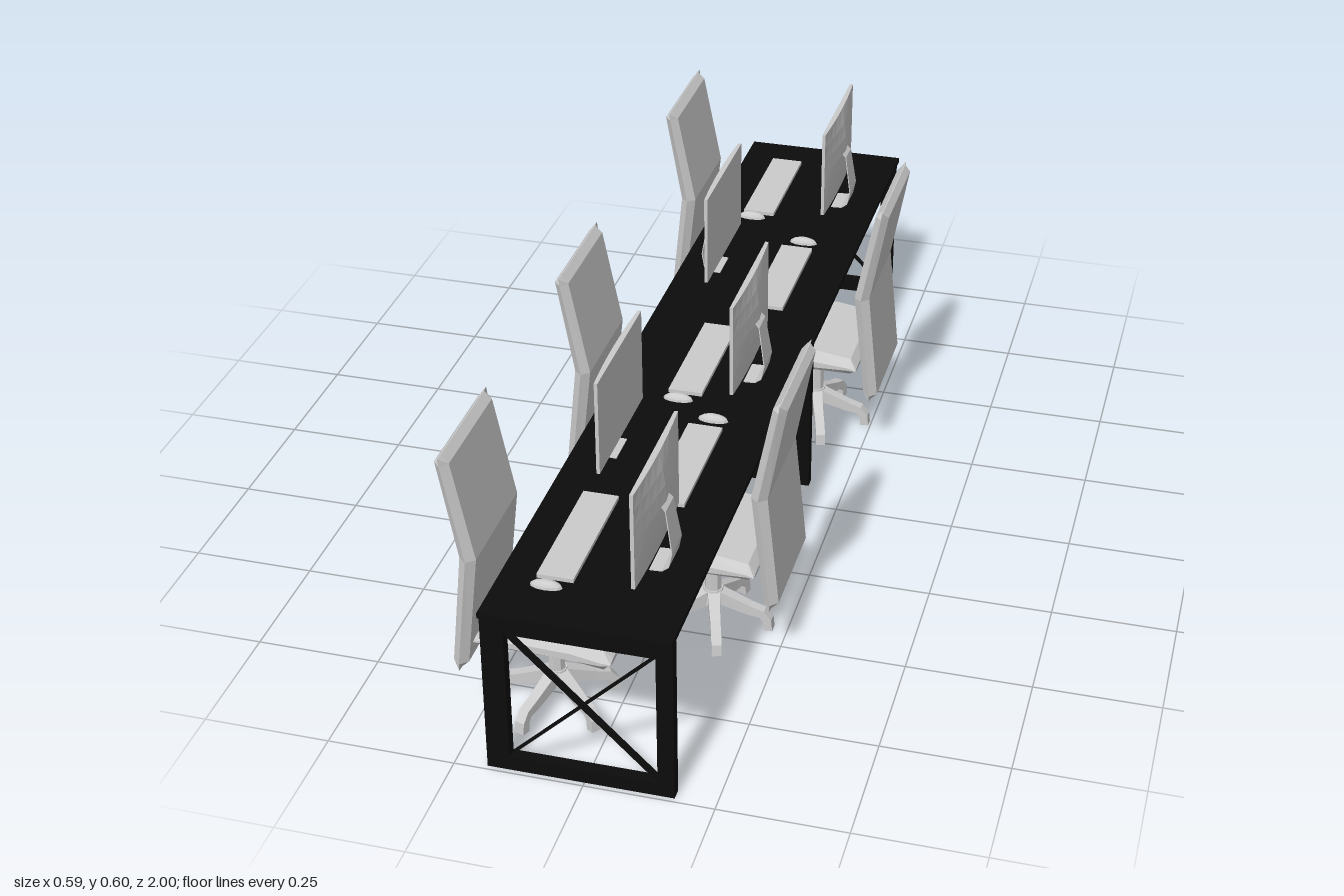
import * as THREE from 'three';

const grey = new THREE.MeshStandardMaterial({ color: 0xcccccc, flatShading: true, side: THREE.DoubleSide });
const black = new THREE.MeshStandardMaterial({ color: 0x0c0c0c, flatShading: true, side: THREE.DoubleSide });

function add(parent, name, geometry, material, x = 0, y = 0, z = 0) {
  const mesh = new THREE.Mesh(geometry, material);
  mesh.name = name;
  mesh.position.set(x, y, z);
  parent.add(mesh);
  return mesh;
}

// Closed solid through equal-sized rings of [x, y, z] points, always wound outwards
function loft(rings) {
  const n = rings[0].length, pts = rings.flat(), tris = [];
  for (let r = 0; r < rings.length - 1; r++) {
    for (let i = 0; i < n; i++) {
      const a = r * n + i, b = r * n + (i + 1) % n;
      tris.push([a, b, b + n], [a, b + n, a + n]);
    }
  }
  const last = (rings.length - 1) * n;
  for (let i = 1; i < n - 1; i++) tris.push([0, i + 1, i], [last, last + i, last + i + 1]);
  let volume = 0;
  const v = pts.map(p => new THREE.Vector3(...p));
  for (const [a, b, c] of tris) volume += v[a].dot(new THREE.Vector3().crossVectors(v[b], v[c]));
  if (volume < 0) tris.forEach(t => t.reverse());
  const g = new THREE.BufferGeometry();
  g.setAttribute('position', new THREE.Float32BufferAttribute(tris.flat().flatMap(i => pts[i]), 3));
  g.computeVertexNormals();
  return g;
}

// Bar with a rectangular section along x-y stations [x, y, halfThickness, halfWidth]
function bar(stations) {
  return loft(stations.map(([x, y, t, w], i) => {
    const p = stations[Math.max(i - 1, 0)], q = stations[Math.min(i + 1, stations.length - 1)];
    const len = Math.hypot(q[0] - p[0], q[1] - p[1]);
    const nx = -(q[1] - p[1]) / len * t, ny = (q[0] - p[0]) / len * t;
    return [[x + nx, y + ny, -w], [x + nx, y + ny, w], [x - nx, y - ny, w], [x - nx, y - ny, -w]];
  }));
}

// Bent backrest with chamfered rim
function backrestGeometry() {
  const w = 0.129, inset = 0.015;
  const ring = (x, y, t) => [
    [x - t, y, -w + inset], [x, y, -w], [x + t, y, -w + inset],
    [x + t, y, w - inset], [x, y, w], [x - t, y, w - inset]];
  return loft([
    ring(-0.146, 0.139, 0.001), ring(-0.146, 0.153, 0.015),
    ring(-0.121, 0.387, 0.016),
    ring(-0.159, 0.588, 0.014), ring(-0.161, 0.603, 0.001)]);
}

// Cushion: [x, top, bottom] profile, pinched to a rim at both sides
function seatGeometry() {
  const profile = [
    [-0.115, 0.215, 0.207], [-0.1, 0.232, 0.195], [-0.02, 0.243, 0.194],
    [0.072, 0.24, 0.192], [0.13, 0.228, 0.184], [0.149, 0.213, 0.203]];
  const section = (z, k) => {
    const side = (p, j) => [p[0], (p[1] + p[2]) / 2 + (p[j] - (p[1] + p[2]) / 2) * k, z];
    return [...profile.map(p => side(p, 1)), ...profile.slice().reverse().map(p => side(p, 2))];
  };
  return loft([section(-0.128, 0.15), section(-0.112, 1), section(0.112, 1), section(0.128, 0.15)]);
}

const backrest = backrestGeometry();
const seat = seatGeometry();
const stem = new THREE.CylinderGeometry(0.017, 0.017, 0.14, 8);
const hub = new THREE.CylinderGeometry(0.02, 0.024, 0.034, 10);
const baseLeg = bar([
  [0.01, 0.067, 0.015, 0.012], [0.075, 0.045, 0.011, 0.01],
  [0.102, 0.039, 0.009, 0.01], [0.113, 0.025, 0.009, 0.01], [0.115, 0.003, 0.009, 0.01]]);

function chair(x, z, turned) {
  const g = new THREE.Group();
  g.name = 'chair';
  add(g, 'backrest', backrest, grey);
  add(g, 'seat', seat, grey);
  add(g, 'stem', stem, grey, 0, 0.125);
  add(g, 'hub', hub, grey, 0, 0.066);
  for (let i = 0; i < 5; i++) {
    add(g, 'baseLeg', baseLeg, grey).rotation.y = Math.PI + i * Math.PI * 2 / 5;
  }
  g.position.set(x, 0, z);
  if (turned) g.rotation.y = Math.PI;
  return g;
}

// Flat screen whose rear swells towards the middle
const screen = new THREE.BoxGeometry(0.01, 0.199, 0.287, 1, 6, 8);
const sp = screen.attributes.position;
for (let i = 0; i < sp.count; i++) {
  if (sp.getX(i) < 0) continue;
  const v = sp.getY(i) / 0.0995, u = Math.abs(sp.getZ(i)) / 0.1435;
  sp.setX(i, 0.002 + 0.005 * (1 - u * u) + 0.013 * (1 - v * v) * (1 - u));
}
screen.computeVertexNormals();

// Thin folded sheet carrying the screen
const stand = bar([
  [0.016, 0.499, 0.001, 0.024], [0.025, 0.49, 0.001, 0.025], [0.038, 0.405, 0.001, 0.032],
  [0.032, 0.376, 0.001, 0.035], [0.02, 0.367, 0.001, 0.036], [-0.004, 0.366, 0.001, 0.036]]);

function monitor(x, z, turned) {
  const g = new THREE.Group();
  g.name = 'monitor';
  add(g, 'screen', screen, grey, 0, 0.4975);
  add(g, 'stand', stand, grey);
  g.position.set(x, 0, z);
  if (turned) g.rotation.y = Math.PI;
  return g;
}

// Leg frame outline with its opening
function frameGeometry() {
  const rect = (T, x0, x1, y0, y1) => {
    const s = new T();
    s.moveTo(x0, y0); s.lineTo(x1, y0); s.lineTo(x1, y1); s.lineTo(x0, y1); s.closePath();
    return s;
  };
  const shape = rect(THREE.Shape, -0.187, 0.172, 0.003, 0.344);
  shape.holes.push(rect(THREE.Path, -0.143, 0.14, 0.033, 0.313));
  return new THREE.ExtrudeGeometry(shape, { depth: 0.023, bevelEnabled: false }).translate(0, 0, -0.0115);
}

export function createModel() {
  const model = new THREE.Group();
  model.name = 'workstationBench';

  // Desk
  add(model, 'desktop', new THREE.BoxGeometry(0.36, 0.011, 2), black, -0.0075, 0.3515);
  const frame = frameGeometry();
  const brace = new THREE.PlaneGeometry(Math.hypot(0.283, 0.28), 0.02).rotateX(Math.PI / 2);
  for (const z of [0.98, -0.084, -0.967]) {
    add(model, 'legFrame', frame, black, 0, 0, z);
    // Paper-thin crossed braces standing edge-on in the frame
    for (const s of [-1, 1]) {
      add(model, 'brace', brace, black, -0.0015, 0.173, z).rotation.z = s * Math.atan2(0.28, 0.283);
    }
  }

  // Seats: [chair x, chair z, keyboard x, keyboard z, mouse x, mouse z, monitor z, turned]
  const places = [
    [-0.122, -0.717, -0.078, -0.75, -0.088, -0.588, -0.725, false],
    [-0.122, 0.088, -0.027, 0.06, -0.034, 0.226, 0.087, false],
    [-0.122, 0.772, -0.08, 0.74, -0.088, 0.905, 0.77, false],
    [0.122, -0.357, 0.047, -0.325, 0.055, -0.495, -0.35, true],
    [0.098, 0.447, 0.047, 0.455, 0.055, 0.285, 0.43, true]];
  const keyboard = new THREE.BoxGeometry(0.07, 0.008, 0.28);
  const mouse = new THREE.SphereGeometry(1, 12, 4, 0, Math.PI * 2, 0, Math.PI / 2).scale(0.031, 0.014, 0.013);
  for (const [cx, cz, kx, kz, mx, mz, sz, turned] of places) {
    model.add(chair(cx, cz, turned));
    model.add(monitor(turned ? -0.095 : 0.079, sz, turned));
    add(model, 'keyboard', keyboard, grey, kx, 0.369, kz);
    add(model, 'mouse', mouse, grey, mx, 0.368, mz);
  }
  return model;
}
